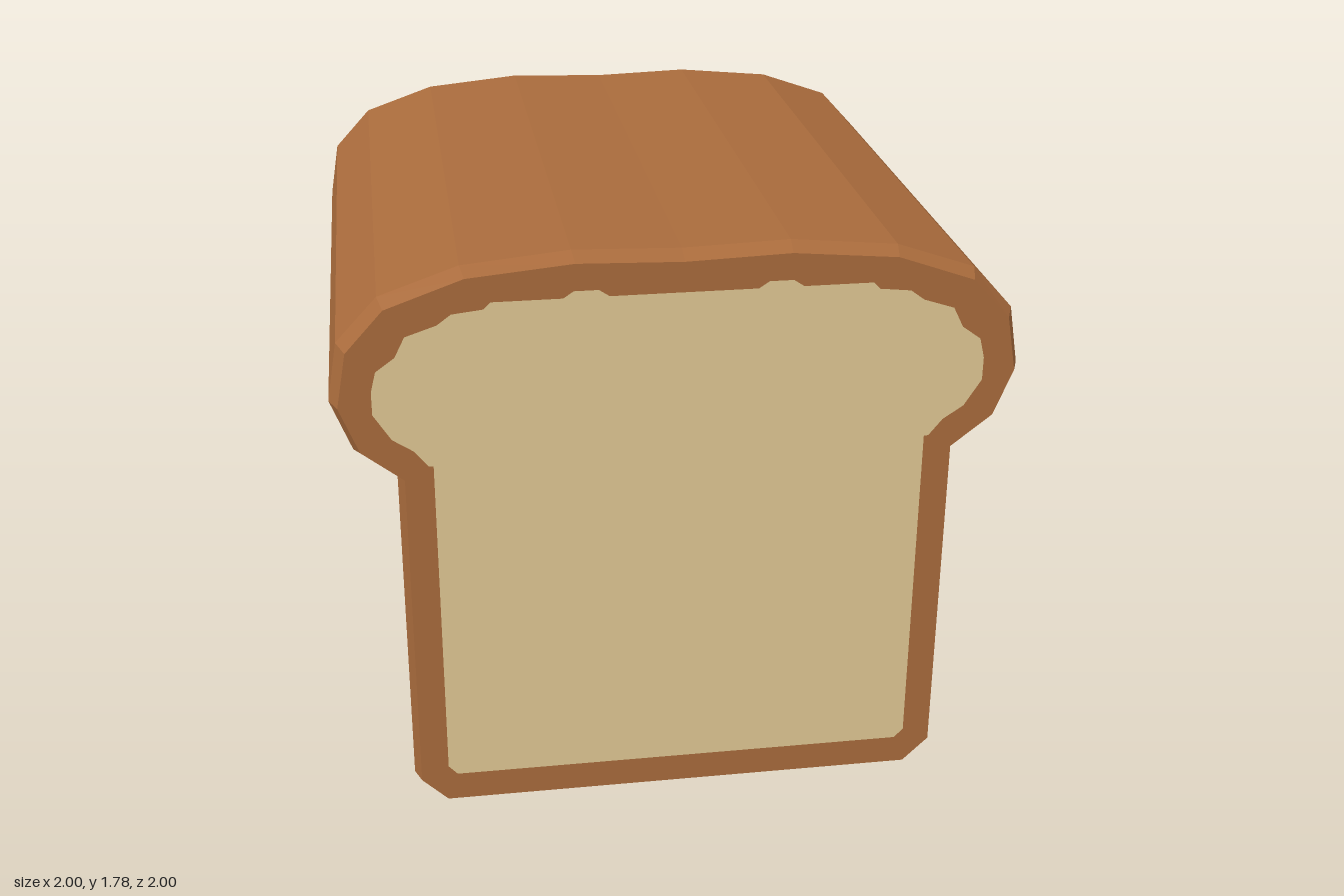
import * as THREE from 'three';

const crust = new THREE.MeshStandardMaterial({ color: 0xa96b3c, flatShading: true });
crust.name = 'crust brown';
const crumb = new THREE.MeshStandardMaterial({ color: 0xe0c894 });
crumb.name = 'crumb cream';

// Right half outlines, from the top centre down to the base
const OUTER = [[0, 1.77], [0.31, 1.78], [0.62, 1.75], [0.85, 1.67], [0.97, 1.54],
  [1, 1.365], [0.94, 1.21], [0.82, 1.12], [0.82, 0.09], [0.73, 0]];
const RIM = [[0, 1.75], [0.305, 1.76], [0.61, 1.732], [0.835, 1.652], [0.945, 1.53],
  [0.975, 1.365], [0.92, 1.225], [0.8, 1.13], [0.8, 0.097], [0.722, 0.02]];
const CRUMB = [[0, 1.66], [0.21, 1.66], [0.24, 1.68], [0.31, 1.68], [0.34, 1.66], [0.54, 1.66],
  [0.56, 1.64], [0.65, 1.63], [0.69, 1.6], [0.78, 1.57], [0.81, 1.51], [0.865, 1.47],
  [0.88, 1.41], [0.88, 1.34], [0.83, 1.26], [0.77, 1.22], [0.73, 1.17], [0.717, 1.17],
  [0.717, 0.14], [0.69, 0.11]];

// Mirrors a half outline into a closed clockwise loop
function loop(half) {
  const left = half.slice(1).reverse().map(([x, y]) => [-x, y]);
  return [...half, ...left].map(([x, y]) => new THREE.Vector2(x, y));
}

// Joins matching loops placed along z with flat quads
function loft(sections) {
  const pos = [];
  for (let s = 0; s < sections.length - 1; s++) {
    const a = sections[s], b = sections[s + 1], n = a.pts.length;
    for (let i = 0; i < n; i++) {
      const j = (i + 1) % n;
      const corner = (sec, k) => [sec.pts[k].x, sec.pts[k].y, sec.z];
      const a0 = corner(a, i), a1 = corner(a, j), b0 = corner(b, i), b1 = corner(b, j);
      pos.push(...a0, ...b0, ...b1, ...a0, ...b1, ...a1);
    }
  }
  const geo = new THREE.BufferGeometry();
  geo.setAttribute('position', new THREE.Float32BufferAttribute(pos, 3));
  geo.computeVertexNormals();
  return geo;
}

export function createModel() {
  const group = new THREE.Group();
  group.name = 'breadLoaf';
  const add = (geo, mat, name, parent = group) => {
    const mesh = new THREE.Mesh(geo, mat);
    mesh.name = name;
    parent.add(mesh);
  };
  const outer = loop(OUTER), rim = loop(RIM), inside = loop(CRUMB);

  // Crust wrapping the loaf, bevelled at both ends
  add(loft([{ pts: rim, z: -1 }, { pts: outer, z: -0.94 },
    { pts: outer, z: 0.94 }, { pts: rim, z: 1 }]), crust, 'crust');

  // Cut ends: a crust border around the crumb
  const border = new THREE.Shape(rim);
  border.holes.push(new THREE.Path(inside));
  const borderGeo = new THREE.ShapeGeometry(border);
  const crumbGeo = new THREE.ShapeGeometry(new THREE.Shape(inside));
  for (const [name, turn] of [['frontEnd', 0], ['backEnd', Math.PI]]) {
    const end = new THREE.Group();
    end.name = name;
    end.rotation.y = turn;
    add(borderGeo.clone().translate(0, 0, 1), crust, 'crustBorder', end);
    add(crumbGeo.clone().translate(0, 0, 1), crumb, 'crumbFace', end);
    group.add(end);
  }
  return group;
}
